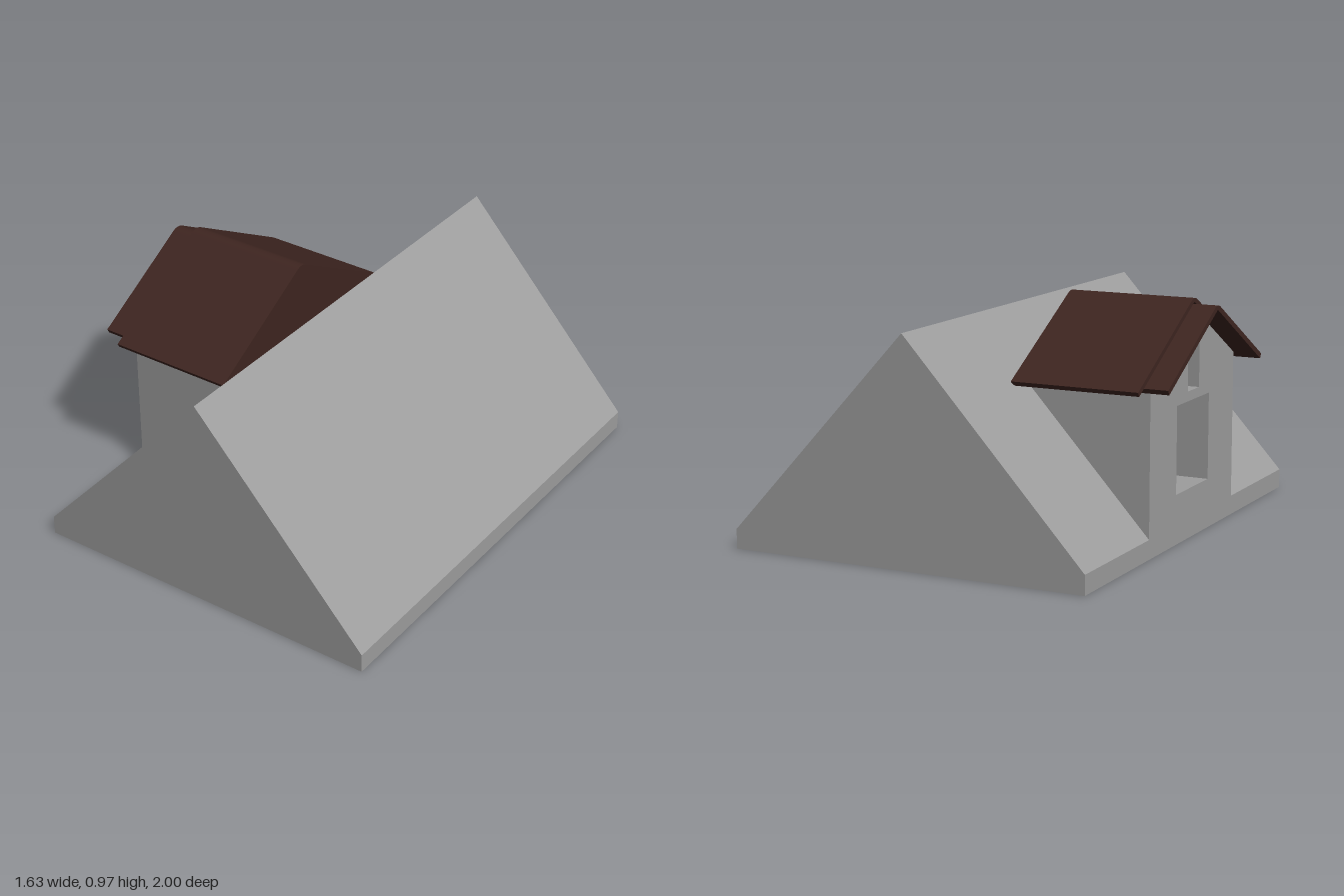
import * as THREE from 'three';

const grey = new THREE.MeshStandardMaterial({ color: 0x9d9d9d, flatShading: true, side: THREE.DoubleSide });
const brown = new THREE.MeshStandardMaterial({ color: 0x3e2520, flatShading: true, side: THREE.DoubleSide });

const EAVE = 0.08, RIDGE_X = 0.049, RIDGE_Y = 0.918;
const LEFT = -0.715, RIGHT = 0.813;
const DORMER_END = -0.172; // where the dormer roof meets the main slope
const PITCH = 0.56;        // dormer roof rise per unit

const polygon = (pts) => new THREE.Shape(pts.map(([x, y]) => new THREE.Vector2(x, y)));
const slopeX = (y) => LEFT + (y - EAVE) * (RIDGE_X - LEFT) / (RIDGE_Y - EAVE);

function extrude(name, shape, depth, material) {
  const geo = new THREE.ExtrudeGeometry(shape, { depth, bevelEnabled: false, curveSegments: 6 });
  const mesh = new THREE.Mesh(geo, material);
  mesh.name = name;
  return mesh;
}

// Extrudes a (z, y) outline along x, from x0 to x1
function extrudeX(name, shape, x0, x1, material) {
  const mesh = extrude(name, shape, x1 - x0, material);
  mesh.geometry.rotateY(Math.PI / 2).translate(x0, 0, 0);
  return mesh;
}

// Extrudes an (x, y) outline along z, from z0 to z1
function extrudeZ(name, shape, z0, z1, material) {
  const mesh = extrude(name, shape, z1 - z0, material);
  mesh.geometry.translate(0, 0, z0);
  return mesh;
}

// Folded roof sheet with a softly rounded ridge and square-cut eaves
function roofSheet(half, apex, thickness) {
  const len = Math.hypot(1, PITCH);
  const drop = thickness * len;
  const inZ = thickness * PITCH / len, inY = thickness / len;
  const r = 0.03;
  const eave = apex - half * PITCH;
  const s = new THREE.Shape();
  s.moveTo(-half, eave);
  s.lineTo(-r, apex - r * PITCH);
  s.quadraticCurveTo(0, apex, r, apex - r * PITCH);
  s.lineTo(half, eave);
  s.lineTo(half - inZ, eave - inY);
  s.lineTo(0, apex - drop);
  s.lineTo(-half + inZ, eave - inY);
  s.closePath();
  return s;
}

const rectHole = (half, y0, y1) =>
  new THREE.Path([[-half, y0], [-half, y1], [half, y1], [half, y0]].map(([x, y]) => new THREE.Vector2(x, y)));

export function createModel() {
  const model = new THREE.Group();
  model.name = 'roofWithDormer';

  // Main roof: two solid ends and a middle strip notched behind the window
  const winHalf = 0.163, winLow = 0.205, winHigh = 0.565;
  const base = [[LEFT, 0], [RIGHT, 0], [RIGHT, EAVE], [RIDGE_X, RIDGE_Y]];
  const gable = polygon([...base, [LEFT, EAVE]]);
  const notched = polygon([...base, [slopeX(winHigh), winHigh], [slopeX(winHigh), winLow],
    [slopeX(winLow), winLow], [LEFT, EAVE]]);
  const mainRoof = new THREE.Group();
  mainRoof.name = 'mainRoof';
  mainRoof.add(
    extrudeZ('mainRoofBack', gable, -1, -winHalf, grey),
    extrudeZ('mainRoofMiddle', notched, -winHalf, winHalf, grey),
    extrudeZ('mainRoofFront', gable, winHalf, 1, grey)
  );
  model.add(mainRoof);

  // Dormer body with a square window and a narrow slot above it
  const dormer = new THREE.Group();
  dormer.name = 'dormer';
  const wall = 0.424, top = 0.936;
  const wallTop = top - wall * PITCH;
  const body = polygon([[-wall, EAVE], [wall, EAVE], [wall, wallTop], [0, top], [-wall, wallTop]]);
  body.holes.push(rectHole(winHalf, winLow, winHigh), rectHole(0.058, 0.605, 0.8));
  dormer.add(extrudeX('dormerWalls', body, LEFT, DORMER_END - 0.012, grey));

  // Dormer roof: main sheet, a lower sheet reaching out over the window, end panel
  dormer.add(extrudeX('dormerRoof', roofSheet(0.54, 0.982, 0.02), LEFT, DORMER_END, brown));
  dormer.add(extrudeX('dormerOverhang', roofSheet(0.485, 0.958, 0.022), -0.815, DORMER_END - 0.012, brown));
  const panelHalf = 0.5, panelTop = 0.959;
  const panelEave = panelTop - panelHalf * PITCH;
  const panel = polygon([[-panelHalf, panelEave], [panelHalf, panelEave], [0, panelTop]]);
  dormer.add(extrudeX('dormerEndPanel', panel, DORMER_END - 0.012, DORMER_END - 0.002, brown));
  model.add(dormer);

  return model;
}
